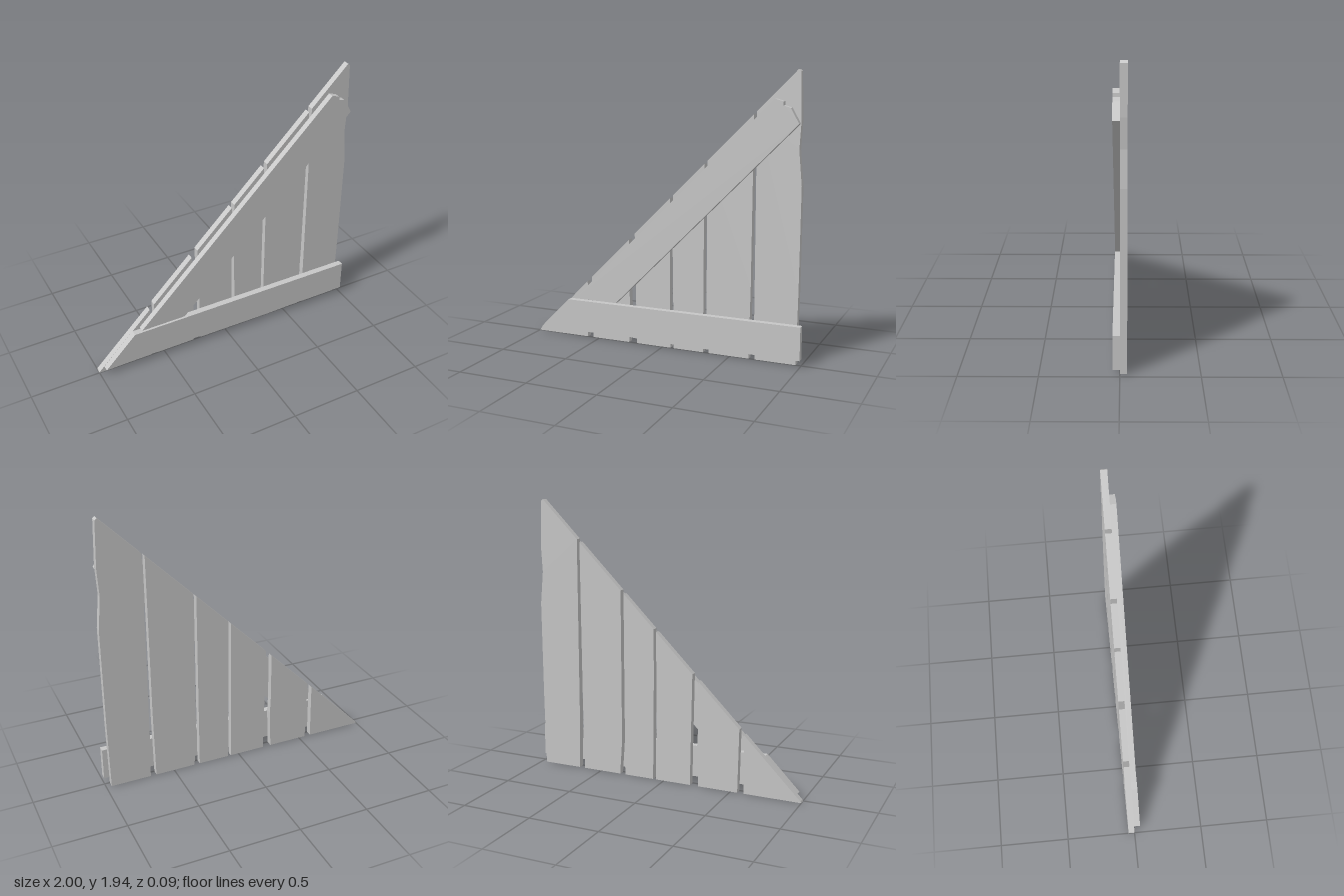
import * as THREE from 'three';

const THICK = 0.045;

export function createModel() {
  const model = new THREE.Group();
  model.name = 'triangularPlankPanel';

  const wood = new THREE.MeshStandardMaterial({ color: 0xc6c6c6 });
  wood.name = 'light grey wood';

  // Board cut from an outline, with its back at the given z
  function board(name, outline, z, depth = THICK) {
    const shape = new THREE.Shape(outline.map(([x, y]) => new THREE.Vector2(x, y)));
    const geometry = new THREE.ExtrudeGeometry(shape, { depth, bevelEnabled: false });
    const mesh = new THREE.Mesh(geometry, wood);
    mesh.name = name;
    mesh.position.z = z;
    model.add(mesh);
  }

  // Upright planks, outlined anticlockwise; tops follow the 45 degree slope
  const planks = [
    [[-1, 0], [-0.595, 0], [-0.592, 0.415], [-0.995, 0.01]],
    [[-0.55, 0], [-0.262, 0], [-0.253, 0.28], [-0.258, 0.4], [-0.258, 0.75], [-0.558, 0.45]],
    [[-0.2, 0], [0.06, 0], [0.056, 0.28], [0.056, 1.064], [-0.214, 0.795], [-0.205, 0.3]],
    [[0.082, 0], [0.304, 0], [0.304, 1.312], [0.075, 1.083], [0.075, 0.7], [0.08, 0.35]],
    [[0.345, 0], [0.634, 0], [0.642, 0.5], [0.645, 1.653], [0.327, 1.335], [0.327, 0.25]],
    [[0.677, 0], [0.962, 0], [0.969, 0.5], [0.972, 1.2], [0.95, 1.43], [0.96, 1.62],
      [0.949, 1.93], [0.935, 1.943], [0.665, 1.673], [0.67, 0.28]],
  ];
  planks.forEach((outline, i) => board(`plank${i + 1}`, outline, -THICK));

  // Level batten across the foot, mitred to the slope
  board('bottomBatten', [[-0.96, 0.043], [-0.6, 0.048], [-0.25, 0.055], [-0.13, 0.045],
    [0.35, 0.041], [0.65, 0.048], [1, 0.047], [1, 0.276], [-0.73, 0.276]], 0);

  // Sloping batten with a splintered upper end
  board('diagonalBatten', [[-0.675, 0.29], [-0.345, 0.29], [0.957, 1.6], [0.9, 1.7],
    [0.853, 1.715], [0.85, 1.74], [0.795, 1.757]], 0, 0.043);

  return model;
}
